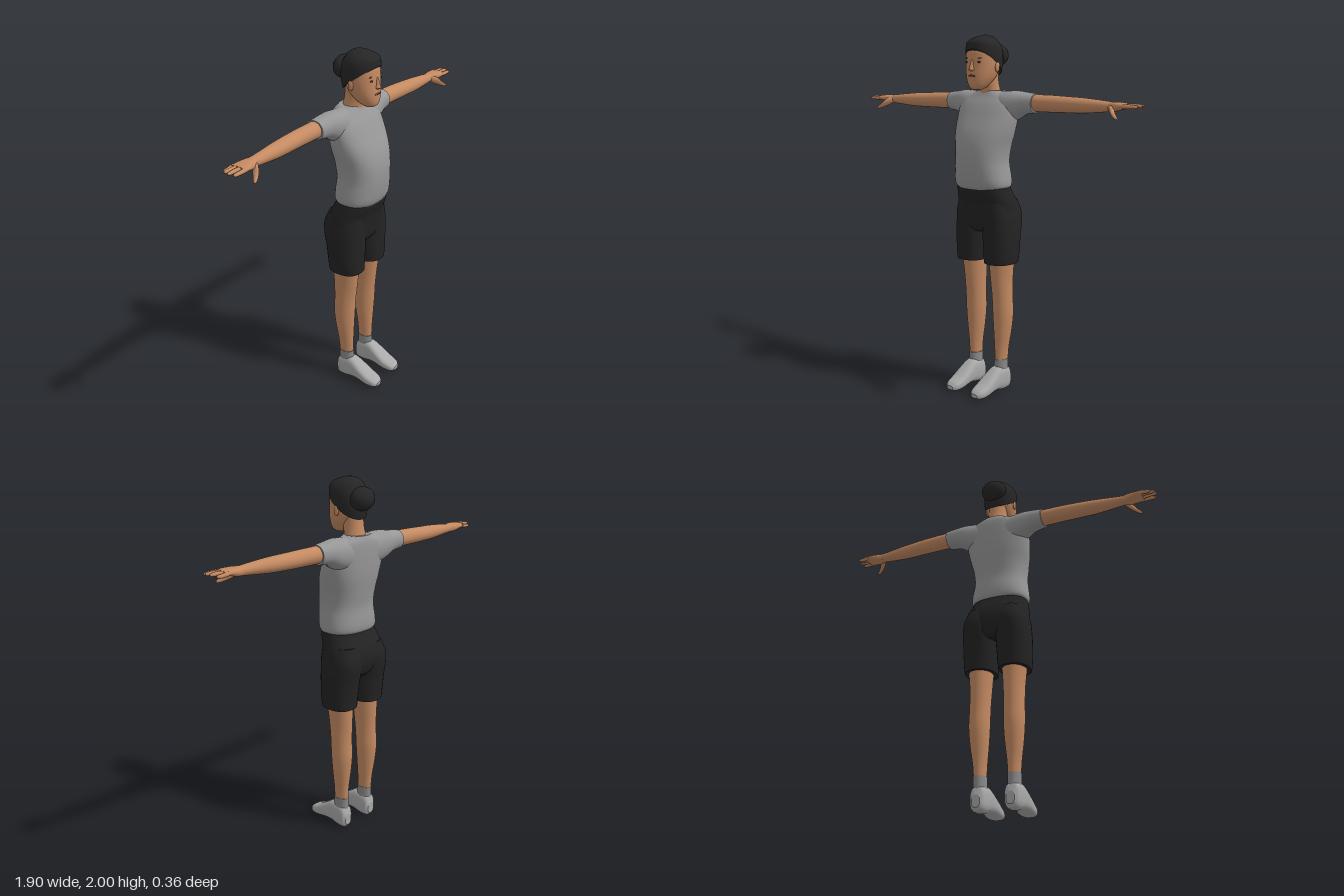
import * as THREE from 'three';

const mat = (name, color) => Object.assign(new THREE.MeshStandardMaterial({ color }), { name });

// Loft through rings [t, u0, u1, v0, v1] along an axis (t ascending), smoothed between rings.
// u, v are: x, z for axis y; z, y for axis x; y, x for axis z. p is the superellipse power.
const ORDER = { y: [1, 0, 2], x: [0, 2, 1], z: [2, 1, 0] };
function loft(axis, rings, p = 2, seg = 28, sub = 4) {
  const last = rings.length - 1;
  const slope = (i, k) => {
    const a = rings[Math.max(i - 1, 0)], b = rings[Math.min(i + 1, last)];
    return (b[k] - a[k]) / (b[0] - a[0]);
  };
  const fine = [];
  for (let i = 0; i < last; i++) {
    const a = rings[i], b = rings[i + 1], h = b[0] - a[0];
    for (let s = 0; s < sub; s++) {
      const f = s / sub, f2 = f * f, f3 = f2 * f;
      fine.push(a.map((v, k) => k === 0 ? v + f * h :
        (2 * f3 - 3 * f2 + 1) * v + (f3 - 2 * f2 + f) * h * slope(i, k) +
        (3 * f2 - 2 * f3) * b[k] + (f3 - f2) * h * slope(i + 1, k)));
    }
  }
  fine.push(rings[last]);

  const pos = [], idx = [], o = ORDER[axis];
  const put = (t, u, v) => {
    const c = [0, 0, 0];
    c[o[0]] = t; c[o[1]] = u; c[o[2]] = v;
    pos.push(...c);
  };
  const bend = v => Math.sign(v) * Math.abs(v) ** (2 / p);
  const ringAt = ([t, u0, u1, v0, v1]) => {
    for (let j = 0; j < seg; j++) {
      const a = j / seg * Math.PI * 2;
      put(t, (u0 + u1) / 2 + (u1 - u0) / 2 * bend(Math.cos(a)),
        (v0 + v1) / 2 + (v1 - v0) / 2 * bend(Math.sin(a)));
    }
  };
  fine.forEach(ringAt);
  for (let i = 0; i < fine.length - 1; i++) {
    for (let j = 0; j < seg; j++) {
      const a = i * seg + j, b = i * seg + (j + 1) % seg, c = a + seg, d = b + seg;
      idx.push(a, c, b, b, c, d);
    }
  }
  // end caps with their own vertices, so the rims stay crisp
  [fine[0], fine[fine.length - 1]].forEach((r, end) => {
    const base = pos.length / 3;
    ringAt(r);
    put(r[0], (r[1] + r[2]) / 2, (r[3] + r[4]) / 2);
    for (let j = 0; j < seg; j++) {
      const a = base + j, b = base + (j + 1) % seg;
      idx.push(base + seg, ...(end ? [b, a] : [a, b]));
    }
  });
  const g = new THREE.BufferGeometry();
  g.setAttribute('position', new THREE.Float32BufferAttribute(pos, 3));
  g.setIndex(idx);
  g.computeVertexNormals();
  return g;
}

function blob(x, y, z, rx, ry, rz) {
  return new THREE.SphereGeometry(1, 20, 14).scale(rx, ry, rz).translate(x, y, z);
}

function mirrored(geo) {
  const g = geo.clone().scale(-1, 1, 1), a = g.index.array;
  for (let i = 0; i < a.length; i += 3) [a[i], a[i + 1]] = [a[i + 1], a[i]];
  g.computeVertexNormals();
  return g;
}

export function createModel() {
  const model = new THREE.Group();
  model.name = 'person';
  const skin = mat('skin', 0xc48a62), shirt = mat('shirt grey', 0x979797);
  const black = mat('shorts black', 0x232323), hairMat = mat('hair black', 0x262626);
  const shoeMat = mat('shoe grey', 0xa9a9a9), sockMat = mat('sock grey', 0x8a8a8a);
  const dark = mat('eye brown', 0x3a2a24), lip = mat('lip brown', 0x7a4638), red = mat('hair tie red', 0x5a2428);

  const add = (name, geo, m) => {
    const mesh = new THREE.Mesh(geo, m);
    mesh.name = name;
    model.add(mesh);
  };
  const pair = (name, geo, m) => {
    add('left' + name, geo, m);
    add('right' + name, mirrored(geo), m);
  };
  // ring symmetric in x
  const sym = rows => rows.map(([y, w, z0, z1]) => [y, -w, w, z0, z1]);

  // shirt
  add('shirt', loft('y', sym([
    [1.175, .152, -.118, .1], [1.195, .165, -.13, .112], [1.24, .163, -.132, .122], [1.32, .152, -.126, .13],
    [1.4, .158, -.135, .127], [1.48, .176, -.146, .105], [1.56, .188, -.15, .066], [1.63, .185, -.15, .03],
    [1.675, .15, -.146, .0], [1.705, .075, -.135, -.015]]), 2.4, 36), shirt);
  pair('Sleeve', loft('x', [
    [.04, -.14, -.01, 1.53, 1.702], [.12, -.147, .005, 1.53, 1.704], [.18, -.15, -.005, 1.55, 1.706],
    [.23, -.147, -.02, 1.578, 1.7], [.3, -.142, -.033, 1.59, 1.692]], 2.2), shirt);

  // arms and hands
  pair('Arm', loft('x', [
    [.26, -.135, -.04, 1.597, 1.688], [.4, -.133, -.042, 1.597, 1.686], [.5, -.13, -.04, 1.598, 1.682],
    [.6, -.122, -.038, 1.6, 1.678], [.7, -.11, -.042, 1.608, 1.67], [.78, -.104, -.046, 1.615, 1.662]]), skin);
  pair('Palm', loft('x', [
    [.765, -.104, -.046, 1.615, 1.662], [.8, -.112, -.03, 1.617, 1.664], [.84, -.116, -.02, 1.628, 1.662],
    [.875, -.114, -.02, 1.632, 1.658]], 2.4, 20), skin);
  [[-.107, .925, -.006], [-.082, .945, .002], [-.057, .95, .002], [-.031, .94, -.003]].forEach(([z, tip, dy], i) => {
    const c = 1.646 + dy;
    pair('Finger' + (i + 1), loft('x', [
      [.86, z - .012, z + .012, 1.633, 1.657], [(.86 + tip) / 2, z - .011, z + .011, c - .01, c + .011],
      [tip - .01, z - .009, z + .009, c - .008, c + .008], [tip, z - .003, z + .003, c - .003, c + .003]], 2, 10, 3), skin);
  });
  pair('Thumb', loft('x', [
    [.765, -.075, -.045, 1.618, 1.65], [.795, -.055, -.012, 1.6, 1.645], [.82, -.03, .003, 1.587, 1.615],
    [.842, -.01, .011, 1.58, 1.597], [.85, -.002, .008, 1.582, 1.589]], 2, 12, 3), skin);

  // shorts
  add('shortsWaist', loft('y', sym([
    [.93, .15, -.13, .035], [.96, .18, -.155, .055], [1.03, .185, -.172, .066], [1.1, .177, -.16, .078],
    [1.16, .163, -.13, .098], [1.195, .155, -.115, .1]]), 2.4, 36), black);
  pair('ShortsLeg', loft('y', [
    [.755, .014, .184, -.143, .055], [.8, .01, .19, -.146, .057], [.9, .004, .193, -.157, .06],
    [.98, .003, .191, -.173, .061], [1.04, .005, .185, -.175, .062], [1.11, .01, .165, -.15, .06]], 2.4), black);

  // legs, socks and shoes
  pair('Leg', loft('y', [
    [.15, .065, .127, -.098, -.012], [.25, .06, .134, -.103, -.01], [.35, .05, .148, -.116, -.006],
    [.45, .044, .156, -.126, 0], [.55, .043, .155, -.123, .006], [.65, .04, .155, -.125, .018],
    [.8, .03, .168, -.13, .035]]), skin);
  pair('Sock', loft('y', [
    [.1, .06, .13, -.1, -.008], [.15, .06, .13, -.1, -.007], [.185, .061, .131, -.101, -.007]]), sockMat);
  pair('Shoe', loft('z', [
    [-.11, .02, .085, .072, .118], [-.095, .002, .128, .057, .134], [-.04, 0, .145, .052, .137],
    [.0, .01, .142, .05, .138], [.05, .012, .112, .045, .142], [.11, .004, .074, .043, .143],
    [.16, .004, .052, .052, .134], [.18, .012, .035, .07, .115]], 2.8), shoeMat);

  // neck and head
  add('neck', loft('y', sym([
    [1.66, .075, -.13, .0], [1.7, .06, -.118, -.008], [1.75, .054, -.108, .005], [1.82, .056, -.1, .01]])), skin);
  add('head', loft('y', sym([
    [1.712, .028, .015, .07], [1.722, .043, -.005, .083], [1.745, .06, -.035, .09], [1.78, .077, -.07, .092],
    [1.83, .089, -.095, .089], [1.88, .092, -.11, .087], [1.92, .09, -.112, .081], [1.96, .07, -.09, .055],
    [1.985, .035, -.06, .0]]), 2.15, 36), skin);
  pair('Ear', blob(.09, 1.83, -.015, .009, .028, .016), skin);

  // face
  add('nose', loft('y', sym([
    [1.808, .008, .07, .094], [1.816, .017, .07, .106], [1.83, .012, .07, .104], [1.87, .007, .07, .09]]), 2, 12), skin);
  pair('Eye', blob(.038, 1.856, .079, .014, .005, .004), dark);
  pair('Eyebrow', blob(.04, 1.877, .077, .019, .003, .004), lip);
  add('mouth', blob(0, 1.783, .09, .024, .007, .004), lip);
  add('mouthLine', blob(0, 1.784, .0925, .018, .002, .003), dark);

  // hair cap, its lower edge sloping down to the nape
  const cap = loft('y', sym([
    [1.86, .094, -.108, .09], [1.9, .096, -.12, .089], [1.94, .092, -.118, .083],
    [1.97, .074, -.1, .062], [1.99, .045, -.072, .026], [2, .012, -.04, -.008]]), 2.1, 36);
  const v = cap.attributes.position;
  for (let i = 0; i < v.count; i++) {
    v.setY(i, v.getY(i) + .7 * v.getZ(i) * (2 - v.getY(i)) / .14);
  }
  cap.computeVertexNormals();
  add('hairCap', cap, hairMat);
  add('hairBun', blob(0, 1.893, -.115, .074, .062, .057), hairMat);
  add('hairTie', new THREE.TorusGeometry(.046, .003, 6, 24, Math.PI * .8).rotateZ(Math.PI * .1)
    .scale(1, .75, 1).translate(0, 1.893, -.154), red);

  return model;
}
